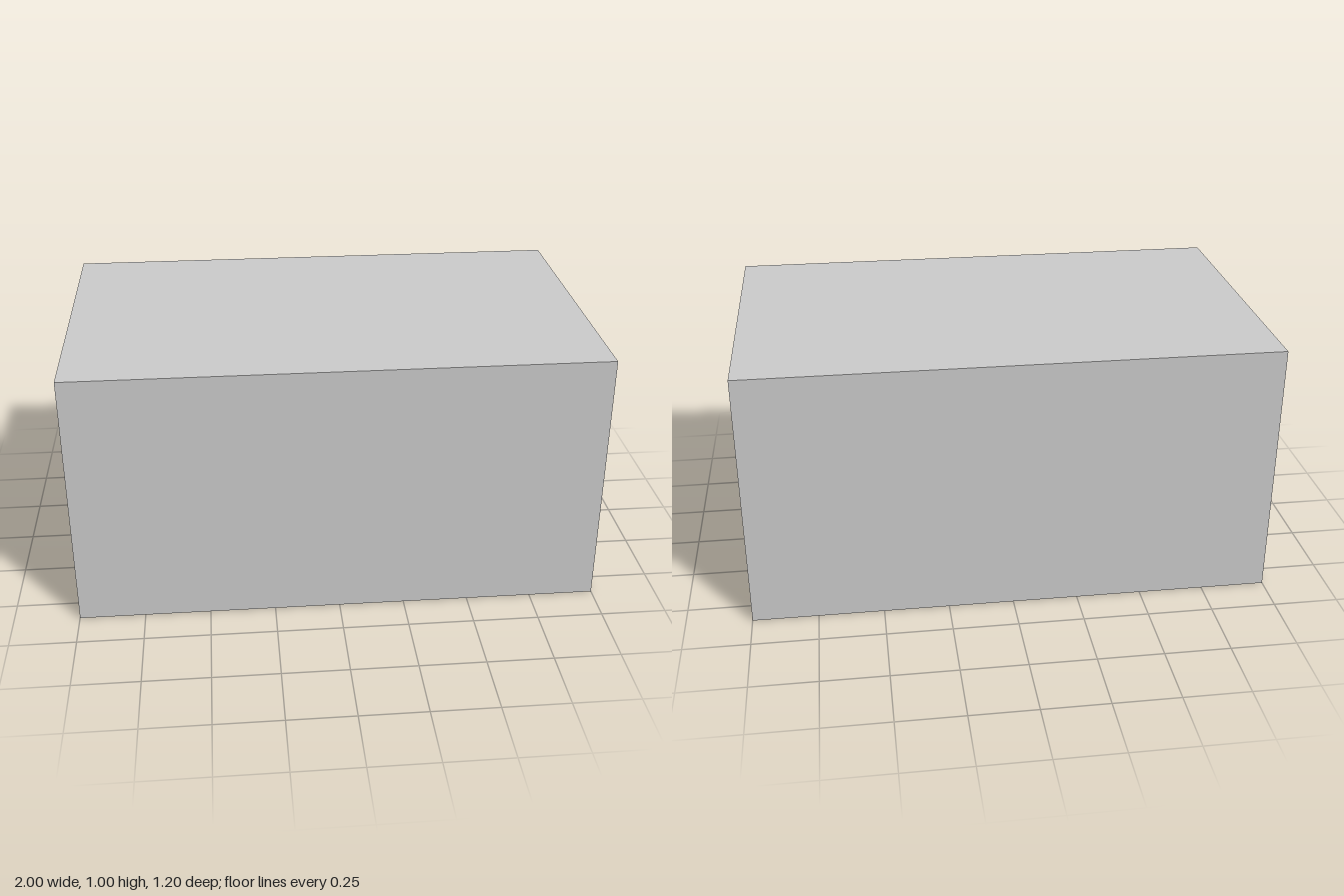
import * as THREE from 'three';

const material = new THREE.MeshStandardMaterial({ color: 0xcccccc, flatShading: true });

// Shape in (z, y) from a list of corner pairs
function polygon(points, Type = THREE.Shape) {
  return new Type(points.map(([z, y]) => new THREE.Vector2(z, y)));
}

// Extrude a cross-section along x, centred on the given x
function alongX(shape, length, x, name) {
  const geometry = new THREE.ExtrudeGeometry(shape, { depth: length, bevelEnabled: false });
  geometry.translate(0, 0, -length / 2);
  geometry.rotateY(Math.PI / 2);
  const mesh = new THREE.Mesh(geometry, material);
  mesh.position.x = x;
  mesh.name = name;
  return mesh;
}

function box(w, h, d, x, y, z, name) {
  const mesh = new THREE.Mesh(new THREE.BoxGeometry(w, h, d), material);
  mesh.position.set(x, y, z);
  mesh.name = name;
  return mesh;
}

export function createModel() {
  const group = new THREE.Group();
  group.name = 'corridor';

  // Outer shell: floor, walls and a ceiling with a shallow recess
  const shell = polygon([[-0.6, 0], [0.6, 0], [0.6, 1], [-0.6, 1]]);
  shell.holes.push(polygon([
    [-0.5, 0.1], [-0.5, 0.9], [-0.2, 0.9], [-0.2, 0.95],
    [0.2, 0.95], [0.2, 0.9], [0.5, 0.9], [0.5, 0.1],
  ], THREE.Path));
  group.add(alongX(shell, 2, 0, 'shell'));

  // Light panel hanging inside the ceiling recess
  group.add(box(1.3, 0.03, 0.2, 0, 0.935, 0, 'ceilingLight'));

  for (const side of [1, -1]) {
    // Lintel closing the recess at each open end
    group.add(box(0.02, 0.05, 0.4, side * 0.99, 0.925, 0, 'lintel'));

    // Wall pillars with angled feet and heads
    for (const s of [1, -1]) {
      const pillar = polygon([
        [s * 0.5, 0.1], [s * 0.3, 0.1], [s * 0.4, 0.2],
        [s * 0.4, 0.8], [s * 0.3, 0.9], [s * 0.5, 0.9],
      ]);
      group.add(alongX(pillar, 0.2, side * 0.5, 'pillar'));
    }
  }
  return group;
}
